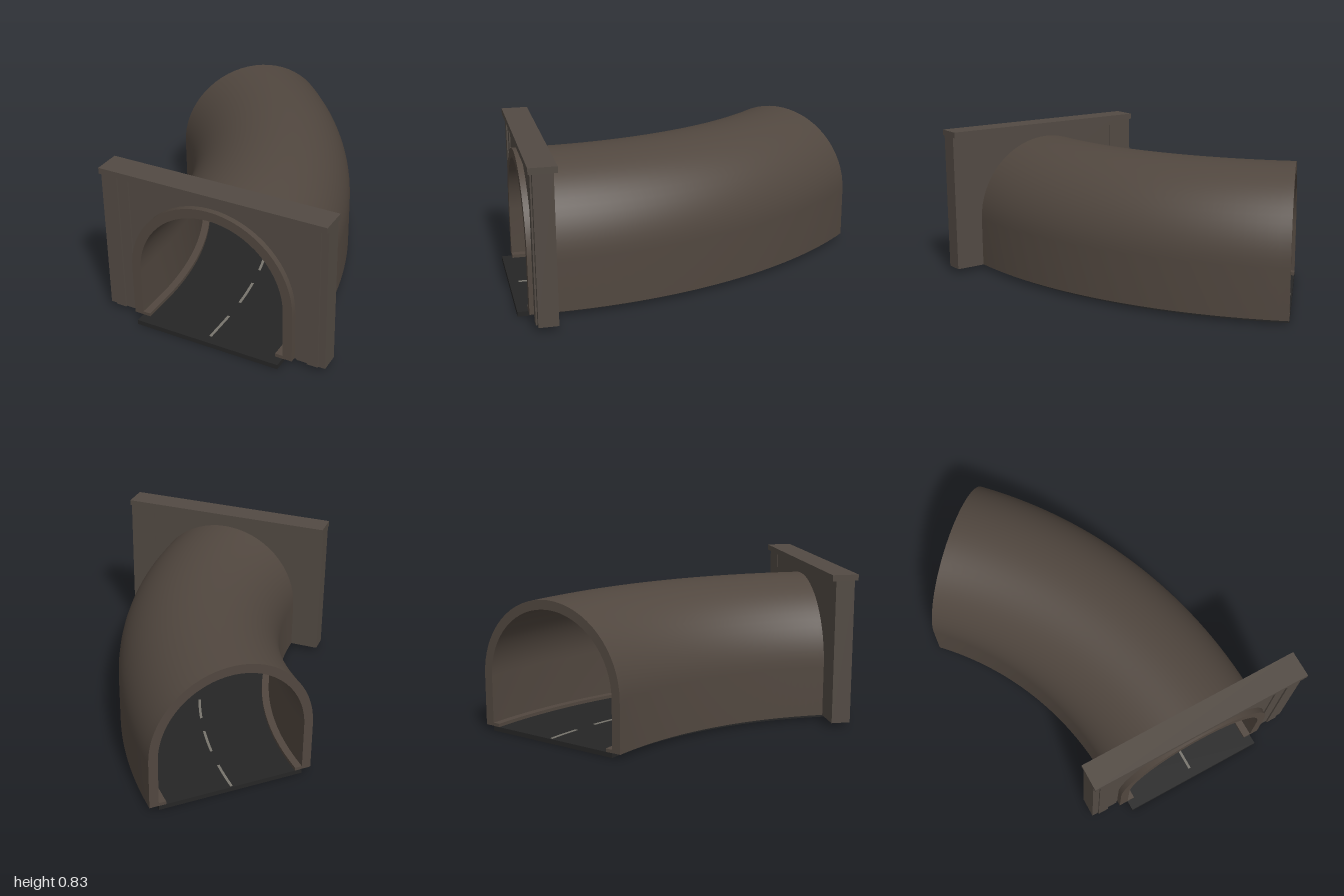
import * as THREE from 'three';
import { toCreasedNormals } from 'three/addons/utils/BufferGeometryUtils.js';

const mat = (name, color) => {
  const m = new THREE.MeshStandardMaterial({ color });
  m.name = name;
  return m;
};

// Tunnel centre line: straight through the portal (s < 0), then an arc to the right
const START_X = 0.15, START_Z = 0.8, RADIUS = 2.14, LENGTH = 1.647;
function place(offset, y, s) {
  if (s < 0) return [START_X + offset, y, START_Z - s];
  const a = s / RADIUS, r = RADIUS + offset;
  return [START_X - RADIUS + r * Math.cos(a), y, START_Z - r * Math.sin(a)];
}

// Sweep a closed counter-clockwise profile of (offset, y) along the centre line
function sweep(profile, s0, s1) {
  const stations = [s0];
  if (s0 < 0 && s1 > 0) stations.push(0);
  const from = Math.max(s0, 0);
  const steps = s1 > from ? Math.max(1, Math.ceil((s1 - from) / 0.05)) : 0;
  for (let i = 1; i <= steps; i++) stations.push(from + (s1 - from) * i / steps);
  if (!steps) stations.push(s1);
  const pos = [];
  const put = (p, s) => pos.push(...place(p.x, p.y, s));
  for (let k = 0; k < stations.length - 1; k++) {
    const s = stations[k], t = stations[k + 1];
    profile.forEach((a, i) => {
      const b = profile[(i + 1) % profile.length];
      put(a, s); put(a, t); put(b, t);
      put(a, s); put(b, t); put(b, s);
    });
  }
  for (const [a, b, c] of THREE.ShapeUtils.triangulateShape(profile, [])) {
    [a, b, c].forEach(i => put(profile[i], s0));
    [c, b, a].forEach(i => put(profile[i], s1));
  }
  const g = new THREE.BufferGeometry();
  g.setAttribute('position', new THREE.Float32BufferAttribute(pos, 3));
  return toCreasedNormals(g, 0.5);
}

const rect = (x0, x1, y0, y1) =>
  [[x0, y0], [x1, y0], [x1, y1], [x0, y1]].map(p => new THREE.Vector2(...p));

// Arch line from right foot over the crown to left foot
function archLine(r, base, spring, n = 32) {
  const pts = [new THREE.Vector2(r, base)];
  for (let i = 0; i <= n; i++) {
    const a = Math.PI * i / n;
    pts.push(new THREE.Vector2(r * Math.cos(a), spring + r * Math.sin(a)));
  }
  pts.push(new THREE.Vector2(-r, base));
  return pts;
}

export function createModel() {
  const model = new THREE.Group();
  model.name = 'curvedTunnel';
  const lining = mat('tunnelConcrete', 0x51473f);
  const stone = mat('portalConcrete', 0x524a43);
  const asphalt = mat('asphalt', 0x252525);
  const paint = mat('roadPaint', 0x77746c);
  const lampMat = mat('lampHousing', 0x2c2c2a);

  const add = (parent, name, geometry, material) => {
    const m = new THREE.Mesh(geometry, material);
    m.name = name;
    parent.add(m);
    return m;
  };
  const box = (parent, name, x0, x1, y0, y1, z0, z1, material) =>
    add(parent, name, new THREE.BoxGeometry(x1 - x0, y1 - y0, z1 - z0), material)
      .position.set((x0 + x1) / 2, (y0 + y1) / 2, (z0 + z1) / 2);

  // Vaulted tunnel shell
  const BASE = 0.026, SPRING = 0.3;
  const shell = [...archLine(0.45, BASE, SPRING), ...archLine(0.4, BASE, SPRING).reverse()];
  add(model, 'tunnelShell', sweep(shell, -0.145, LENGTH), lining);

  // Road slab, kerbs and centre dashes
  add(model, 'road', sweep(rect(-0.4, 0.4, 0, 0.025), -0.2, LENGTH), asphalt);
  for (const side of [-1, 1]) {
    const c = side * 0.38;
    add(model, 'kerb', sweep(rect(c - 0.02, c + 0.02, 0.025, 0.043), -0.145, LENGTH), lining);
  }
  for (let i = 0; i < 6; i++) {
    const s = -0.15 + i * 0.32;
    add(model, 'laneDash', sweep(rect(-0.007, 0.007, 0.025, 0.028), s, Math.min(s + 0.19, LENGTH)), paint);
  }

  // Lamps along both haunches
  for (const side of [-1, 1]) for (let i = 0; i < 4; i++) {
    const s = 0.04 + i * 0.415, c = side * 0.247;
    add(model, 'lamp', sweep(rect(c - 0.025, c + 0.025, 0.598, 0.618), s, s + 0.025), lampMat);
  }

  // Portal: wall with arched opening, pillars, ribs and coping
  const portal = new THREE.Group();
  portal.name = 'portal';
  portal.position.x = 0.153;
  model.add(portal);
  const wall = new THREE.Shape([
    new THREE.Vector2(0.462, BASE), new THREE.Vector2(0.462, 0.8),
    new THREE.Vector2(-0.462, 0.8), new THREE.Vector2(-0.462, BASE),
    ...archLine(0.449, BASE, SPRING).reverse(),
  ]);
  const wallGeo = new THREE.ExtrudeGeometry(wall, { depth: 0.093, bevelEnabled: false });
  wallGeo.translate(0, 0, 0.822);
  add(portal, 'portalWall', toCreasedNormals(wallGeo, 0.5), stone);
  for (const side of [-1, 1]) {
    const pillar = side * 0.5385, rib = side * 0.55;
    box(portal, 'pillar', pillar - 0.0765, pillar + 0.0765, BASE, 0.8, 0.82, 0.922, stone);
    box(portal, 'pillarRib', rib - 0.029, rib + 0.029, BASE, 0.8, 0.9, 0.93, stone);
  }
  box(portal, 'coping', -0.615, 0.615, 0.8, 0.832, 0.8, 0.942, stone);

  return model;
}
